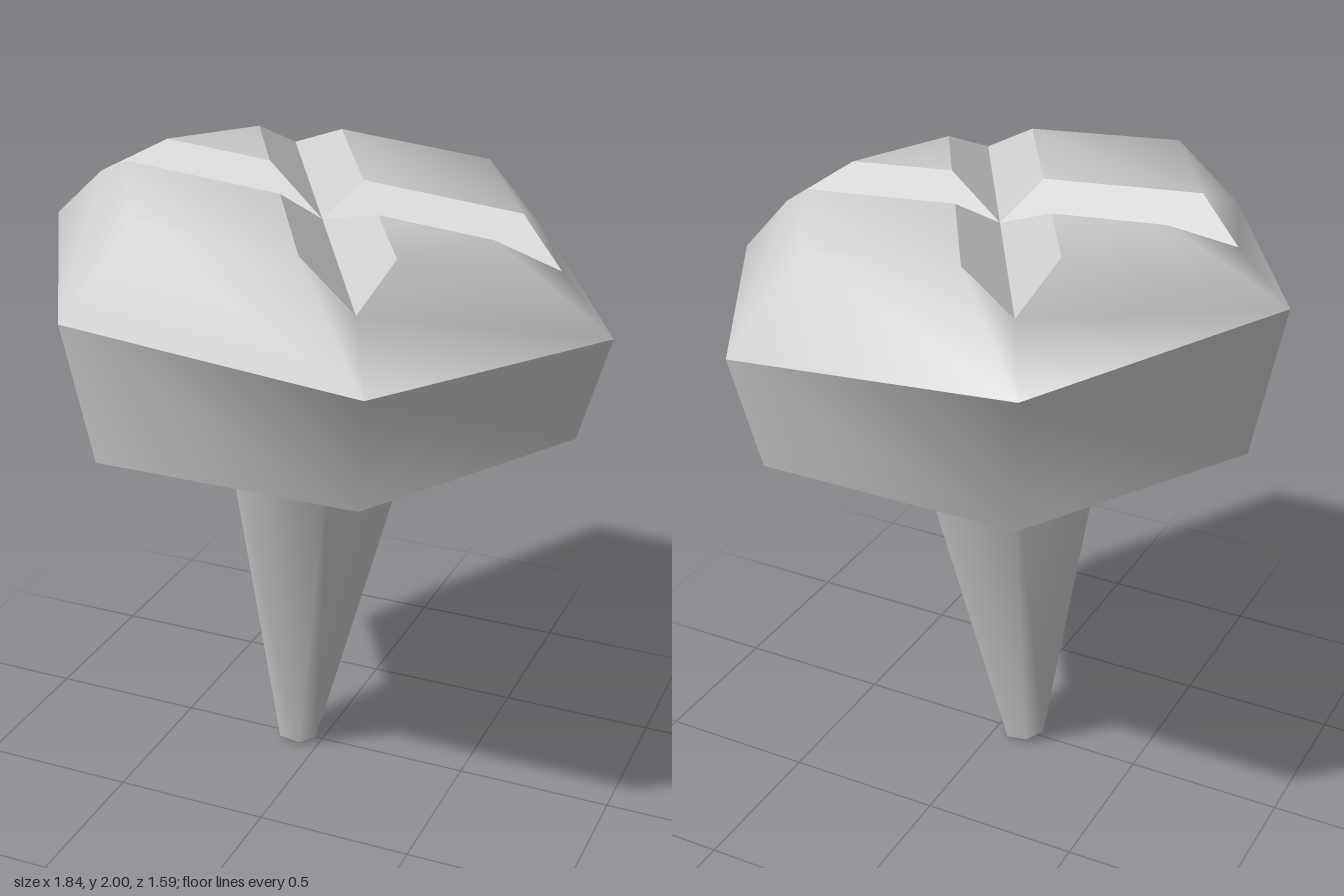
import * as THREE from 'three';
import { mergeVertices } from 'three/addons/utils/BufferGeometryUtils.js';

const SIDES = [0, 1, 2, 3, 4, 5];
const SLOPE = -0.085; // the head leans down toward +x

// Convex polygons, listed clockwise as seen from outside, become triangle fans.
function polygons(list, smooth) {
  const pos = [];
  for (const p of list) {
    for (let i = 1; i < p.length - 1; i++) pos.push(...p[0], ...p[i + 1], ...p[i]);
  }
  let geo = new THREE.BufferGeometry();
  geo.setAttribute('position', new THREE.Float32BufferAttribute(pos, 3));
  if (smooth) geo = mergeVertices(geo, 1e-4);
  geo.computeVertexNormals();
  return geo;
}

// Point at a distance along spoke k and a sideways offset, on a tilted plane.
function spoke(k, along, side, y, slope = SLOPE, cx = 0) {
  const a = k * Math.PI / 3;
  const dx = along * Math.cos(a) - side * Math.sin(a);
  const z = along * Math.sin(a) + side * Math.cos(a);
  return [cx + dx, y + slope * dx, z];
}

const hexagon = (r, y, slope, cx = 0) => SIDES.map(k => spoke(k, r, 0, y, slope, cx));

const band = (low, high) => SIDES.map(k => {
  const n = (k + 1) % 6;
  return [low[k], low[n], high[n], high[k]];
});

export function createModel() {
  const group = new THREE.Group();
  const steel = new THREE.MeshStandardMaterial({ color: 0xcccccc });
  steel.name = 'grey steel';
  const add = (name, list, smooth) => {
    const mesh = new THREE.Mesh(polygons(list, smooth), steel);
    mesh.name = name;
    group.add(mesh);
  };

  // Tapered shank, bent slightly toward -x
  const shankTip = hexagon(0.07, 0.015, -0.15, -0.095);
  add('shank', band(shankTip, hexagon(0.35, 1.27, 0, -0.02)), true);
  add('shankTip', [[...shankTip].reverse()], false);

  // Head wall and underside
  const base = hexagon(0.823, 1.27, 0);
  const rim = hexagon(0.918, 1.68, SLOPE);
  add('headWall', band(base, rim), true);
  add('headUnderside', [[...base].reverse()], false);

  // Domed top, cut by two V grooves along spokes 0-3 and 1-4
  const HALF = 0.135, RING = 0.665, TOP = 1.95, FLOOR = 1.85;
  const grooved = k => k % 3 !== 2;
  const corner = (k, s) => spoke(k, RING - HALF * Math.tan(Math.PI / 6), s * HALF, TOP);
  const tip = k => spoke(k, 0.753, 0, FLOOR);
  const peak = k => spoke(k, RING, 0, TOP);
  const narrow = k => spoke(k + 0.5, HALF / Math.sin(Math.PI / 6), 0, TOP);
  const wide = k => spoke(k + 1, HALF / Math.sin(Math.PI / 3), 0, TOP);

  const dome = SIDES.map(k => {
    const n = (k + 1) % 6;
    return [
      rim[k], rim[n],
      ...(grooved(n) ? [tip(n), corner(n, -1)] : [peak(n)]),
      ...(grooved(k) ? [corner(k, 1), tip(k)] : [peak(k)]),
    ];
  });
  for (const k of [0, 3]) {
    dome.push([corner(k, 1), corner(k + 1, -1), narrow(k)]);
    dome.push([corner(k + 1, 1), peak(k + 2), corner(k + 3, -1), wide(k + 1)]);
  }
  add('headDome', dome, true);

  // Groove walls
  const centre = [0, FLOOR, 0];
  const walls = [];
  for (const k of SIDES.filter(grooved)) {
    const first = k % 3 === 0;
    const after = first ? narrow(k) : wide(k);
    const before = first ? wide(k - 2) : narrow(k - 1);
    walls.push([centre, tip(k), corner(k, 1), after]);
    walls.push([centre, before, corner(k, -1), tip(k)]);
  }
  add('crossGrooves', walls, false);

  return group;
}
